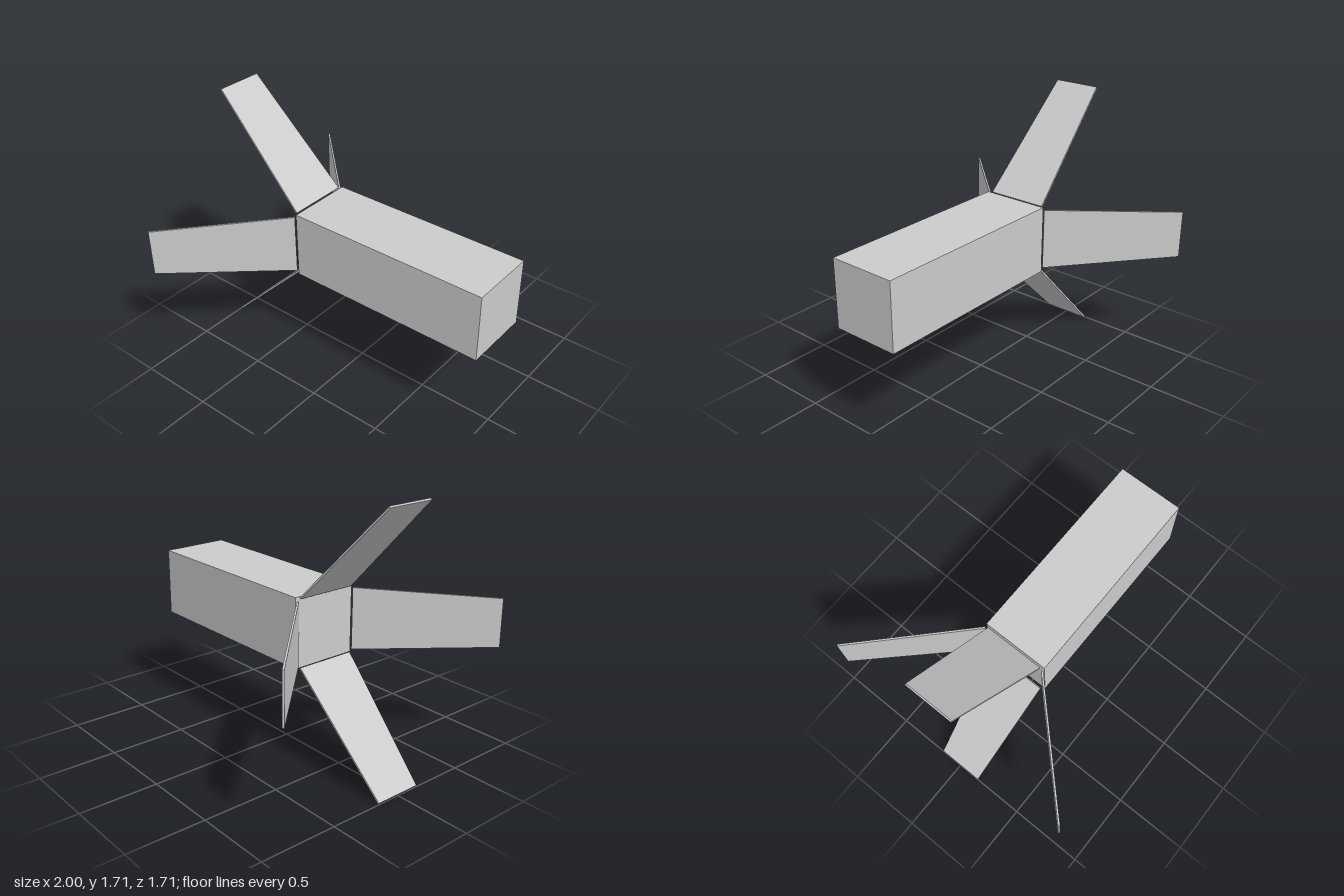
import * as THREE from 'three';

export function createModel() {
  const model = new THREE.Group();
  const grey = new THREE.MeshStandardMaterial({ color: 0xcccccc });
  grey.name = 'lightGrey';
  const axisY = 0.857;

  // Square box body
  const body = new THREE.Mesh(new THREE.BoxGeometry(1.345, 0.445, 0.445), grey);
  body.name = 'body';
  body.position.set(0.3275, axisY, 0);
  model.add(body);

  // Thin tapered fin: wide root at the origin, narrow tip along +y
  const length = 0.898, thickness = 0.012;
  const outline = new THREE.Shape([
    new THREE.Vector2(-0.2, 0),
    new THREE.Vector2(0.2, 0),
    new THREE.Vector2(0.156, length),
    new THREE.Vector2(-0.156, length),
  ]);
  const finGeometry = new THREE.ExtrudeGeometry(outline, { depth: thickness, bevelEnabled: false });
  finGeometry.translate(0, 0, -thickness / 2);
  finGeometry.rotateY(Math.PI / 2);
  finGeometry.rotateZ(Math.PI / 4); // sweep back and outwards
  finGeometry.translate(-0.361, 0.218, 0);

  // Four fins around the body axis
  ['topFin', 'leftFin', 'bottomFin', 'rightFin'].forEach((name, i) => {
    const fin = new THREE.Mesh(finGeometry, grey);
    fin.name = ['topFin', 'frontFin', 'bottomFin', 'backFin'][i];
    fin.position.y = axisY;
    fin.rotation.x = (i * Math.PI) / 2;
    model.add(fin);
  });

  return model;
}
